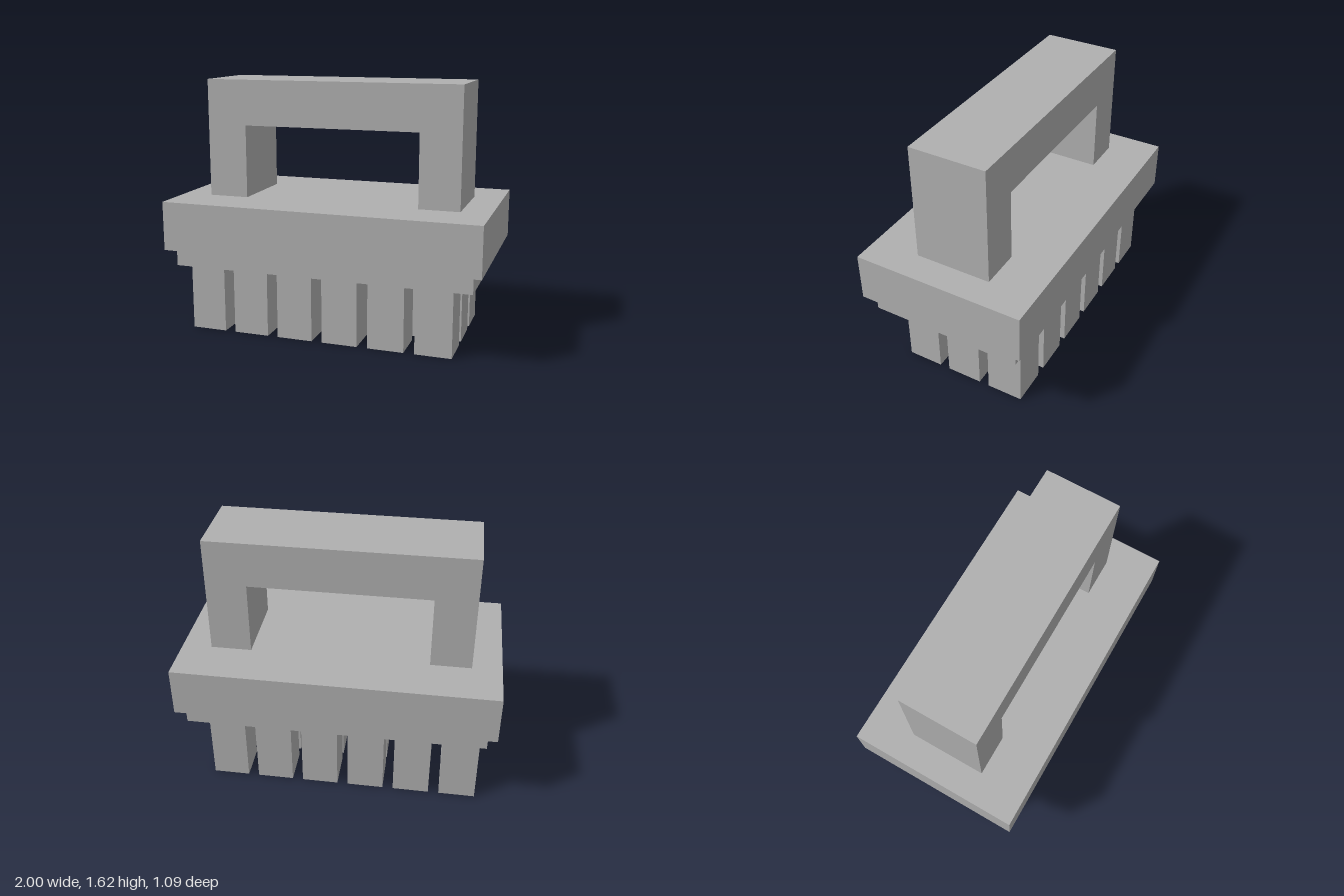
import * as THREE from 'three';

export function createModel() {
  const model = new THREE.Group();
  model.name = 'brush';
  const grey = new THREE.MeshStandardMaterial({ color: 0xb0b0b0 });
  grey.name = 'grey';

  function add(name, geometry, x, y, z, parent = model) {
    const mesh = new THREE.Mesh(geometry, grey);
    mesh.name = name;
    mesh.position.set(x, y, z);
    parent.add(mesh);
  }

  // Body slab and the narrower plate beneath it
  add('body', new THREE.BoxGeometry(2, 0.31, 1.085), 0, 0.715, 0);
  add('bristlePlate', new THREE.BoxGeometry(1.89, 0.11, 0.97), 0, 0.505, 0);

  // Square arch handle
  const arch = new THREE.Shape([
    [-0.815, 0.87], [-0.56, 0.87], [-0.56, 1.33], [0.56, 1.33],
    [0.56, 0.87], [0.815, 0.87], [0.815, 1.615], [-0.815, 1.615],
  ].map(([x, y]) => new THREE.Vector2(x, y)));
  const depth = 0.485;
  add('handle', new THREE.ExtrudeGeometry(arch, { depth, bevelEnabled: false }), 0, 0, -depth / 2);

  // Six by three grid of square bristle blocks
  const bristles = new THREE.Group();
  bristles.name = 'bristles';
  model.add(bristles);
  const block = new THREE.BoxGeometry(0.23, 0.45, 0.228);
  for (let column = 0; column < 6; column++) {
    for (let row = 0; row < 3; row++) {
      add('bristle', block, -0.79 + column * 0.2975, 0.225, 0.257 - row * 0.293, bristles);
    }
  }
  return model;
}
